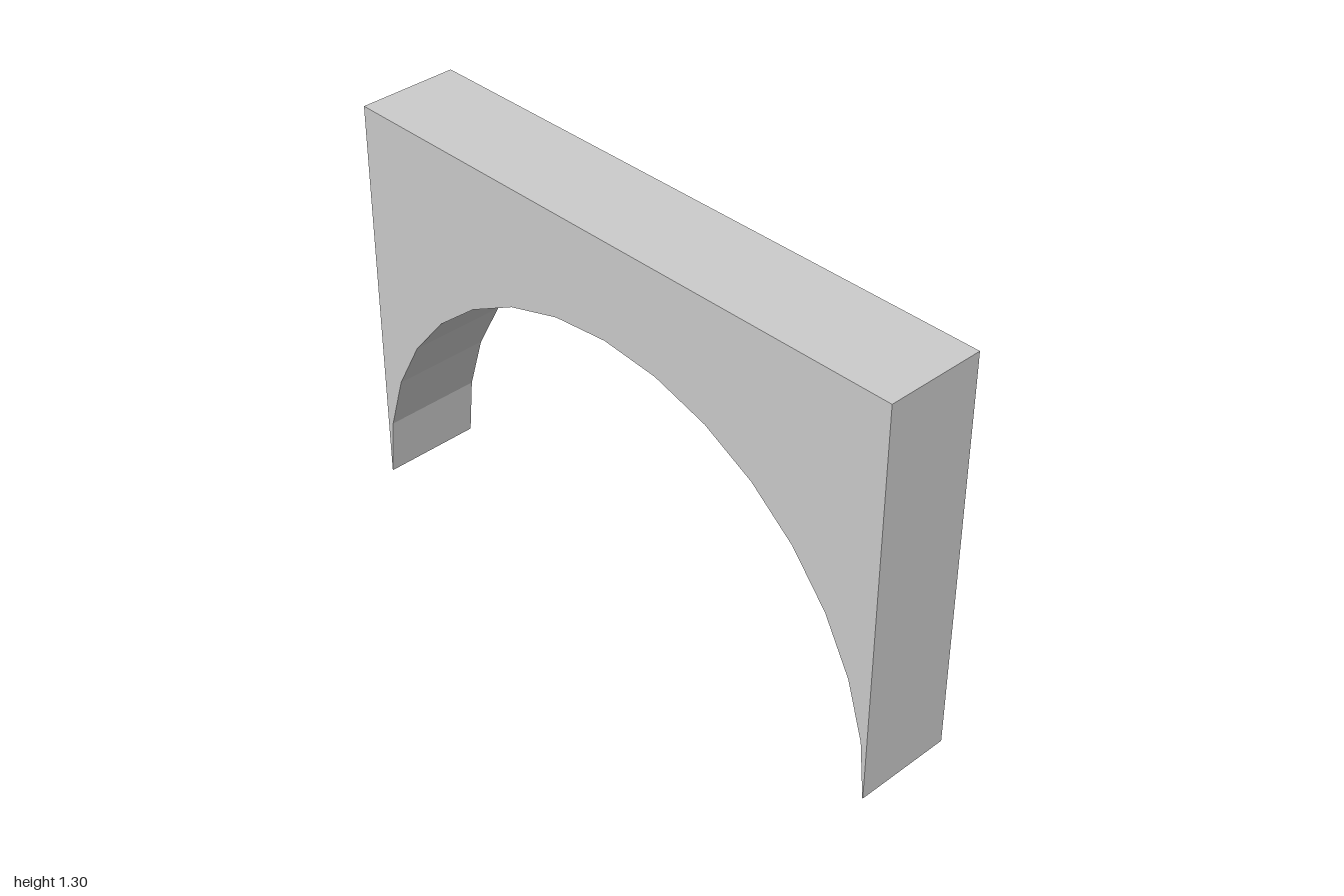
import * as THREE from 'three';

export function createModel() {
  const group = new THREE.Group();
  const height = 1.3, depth = 0.32;
  const archWidth = 0.998, archHeight = 0.987, segments = 16;

  // Wall outline: square outer corners, faceted round arch cut from below
  const outline = new THREE.Shape();
  outline.moveTo(1, 0);
  outline.lineTo(1, height);
  outline.lineTo(-1, height);
  outline.lineTo(-1, 0);
  for (let i = 0; i <= segments; i++) {
    const a = Math.PI * (1 - i / segments);
    outline.lineTo(archWidth * Math.cos(a), archHeight * Math.sin(a));
  }
  outline.closePath();

  const geometry = new THREE.ExtrudeGeometry(outline, { depth, bevelEnabled: false });
  geometry.translate(0, 0, -depth / 2);

  const archway = new THREE.Mesh(
    geometry,
    new THREE.MeshStandardMaterial({ color: 0xcccccc, flatShading: true })
  );
  archway.name = 'archway';
  group.add(archway);
  return group;
}
